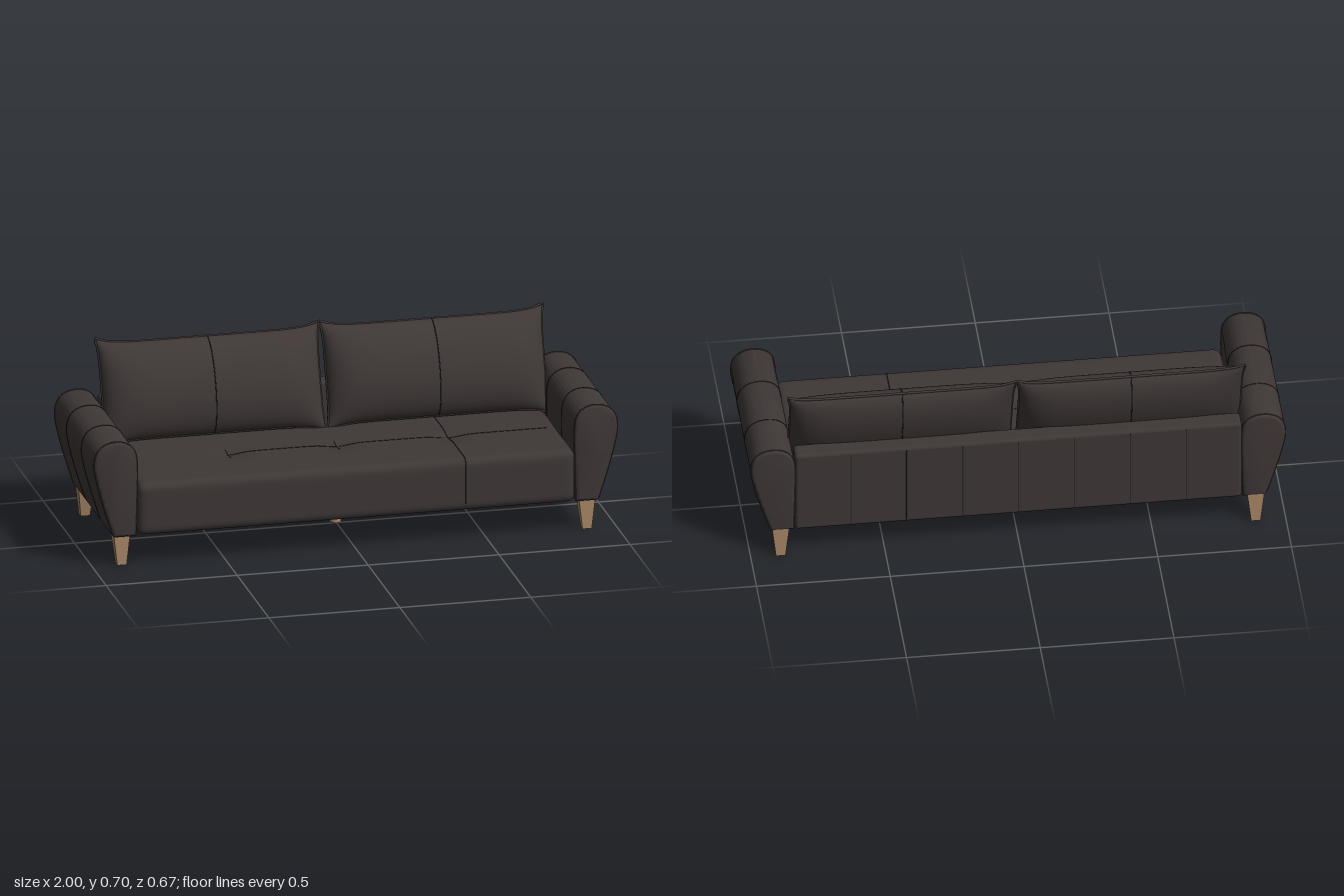
import * as THREE from 'three';
import { mergeVertices, mergeGeometries, toCreasedNormals } from 'three/addons/utils/BufferGeometryUtils.js';
import { RoundedBoxGeometry } from 'three/addons/geometries/RoundedBoxGeometry.js';

const mat = (name, color) => new THREE.MeshStandardMaterial({ name, color });
const fabric = mat('charcoal upholstery', 0x3e3736);
const thread = mat('dark seam', 0x2a2524);
const wood = mat('light wood', 0xa98768);

const V = (x, y, z) => new THREE.Vector3(x, y, z);
const clamp = THREE.MathUtils.clamp;

function add(parent, name, geometry, material, x = 0, y = 0, z = 0) {
  const mesh = new THREE.Mesh(geometry, material);
  mesh.name = name;
  mesh.position.set(x, y, z);
  parent.add(mesh);
  return mesh;
}

// Thin stitched line or piping following a list of points
function line(parent, name, points, radius, material, closed = false) {
  const path = new THREE.CatmullRomCurve3(points, closed, 'centripetal');
  return add(parent, name, new THREE.TubeGeometry(path, points.length * 2, radius, 6, closed), material);
}

// ---- Seat: a rounded block with tufted dimples along its top ----
const SEAT = { w: 1.67, h: 0.205, d: 0.61, r: 0.03, y: 0.2225, z: 0.025 };
const TUFTS = [-0.425, -0.01, 0.415];
const TUFT_Z = 0.05;

const dimple = (x, z) => TUFTS.reduce((sum, t) =>
  sum + 0.01 * Math.exp(-((x - t) ** 2 + (z - TUFT_Z) ** 2) / 0.003), 0);
const seatTop = (x, z) => SEAT.y + SEAT.h / 2 - dimple(x, z);

function seatGeometry() {
  const { w, h, d, r } = SEAT;
  let geo = new THREE.BoxGeometry(w, h, d, 110, 16, 44);
  geo.deleteAttribute('uv');
  geo.deleteAttribute('normal');
  geo = mergeVertices(geo);
  const pos = geo.attributes.position;
  const p = V(0, 0, 0), core = V(0, 0, 0);
  for (let i = 0; i < pos.count; i++) {
    p.fromBufferAttribute(pos, i);
    core.set(clamp(p.x, r - w / 2, w / 2 - r), clamp(p.y, r - h / 2, h / 2 - r), clamp(p.z, r - d / 2, d / 2 - r));
    p.sub(core).setLength(r).add(core);
    if (p.y > h / 2 - r) p.y -= dimple(p.x, p.z + SEAT.z);
    pos.setXYZ(i, p.x, p.y, p.z);
  }
  geo.computeVertexNormals();
  return geo;
}

function buildSeat(root) {
  const seat = new THREE.Group();
  seat.name = 'seat';
  root.add(seat);
  add(seat, 'seatBlock', seatGeometry(), fabric, 0, SEAT.y, SEAT.z);
  add(seat, 'basePanel', new THREE.BoxGeometry(1.56, 0.01, 0.52), fabric, 0, 0.119, 0);

  // Lengthwise stitch through the tufts
  const along = [];
  for (let x = -0.43; x <= 0.81; x += 0.02) along.push(V(x, seatTop(x, TUFT_Z), TUFT_Z));
  line(seat, 'seatLengthSeam', along, 0.0015, thread);

  // Short cross stitches, and one full seam running over the front edge
  for (const x of TUFTS.slice(0, 2)) {
    const cross = [];
    for (let z = TUFT_Z - 0.05; z <= TUFT_Z + 0.051; z += 0.01) cross.push(V(x, seatTop(x, z), z));
    line(seat, 'tuftStitch', cross, 0.0015, thread);
  }
  const over = [];
  const x = TUFTS[2];
  for (let z = -0.2; z < 0.3; z += 0.02) over.push(V(x, seatTop(x, z), z));
  for (let a = 0; a <= 6; a++) {
    const t = a / 6 * Math.PI / 2;
    over.push(V(x, 0.295 + 0.03 * Math.cos(t), 0.3 + 0.03 * Math.sin(t)));
  }
  over.push(V(x, 0.22, 0.33), V(x, 0.15, 0.33));
  line(seat, 'seatFrontSeam', over, 0.002, thread);
}

// ---- Backrest with vertical panel seams ----
function buildBack(root) {
  const back = new THREE.Group();
  back.name = 'backrest';
  root.add(back);
  add(back, 'backPanel', new RoundedBoxGeometry(1.67, 0.345, 0.075, 4, 0.014), fabric, 0, 0.2925, -0.2955);
  for (let i = -3; i <= 3; i++) {
    add(back, 'backSeam', new THREE.BoxGeometry(0.004, 0.32, 0.003), thread, i * 0.209, 0.2925, -0.333);
  }
}

// ---- Arms: teardrop profile run from front to back ----
function buildArm(root, s) {
  const arm = new THREE.Group();
  arm.name = s > 0 ? 'leftArm' : 'rightArm';
  root.add(arm);
  const P = (x, y) => new THREE.Vector2(s * x, y);
  const shape = new THREE.Shape();
  shape.moveTo(s * 0.84, 0.12);
  shape.lineTo(s * 0.925, 0.12);
  shape.splineThru([P(0.945, 0.18), P(0.972, 0.27), P(0.994, 0.36), P(0.999, 0.41), P(0.988, 0.453),
    P(0.96, 0.48), P(0.92, 0.49), P(0.88, 0.484), P(0.85, 0.46), P(0.836, 0.42), P(0.834, 0.34)]);
  shape.lineTo(s * 0.84, 0.12);

  const b = 0.012;
  const geo = new THREE.ExtrudeGeometry(shape, {
    depth: 0.645 - 2 * b, bevelThickness: b, bevelSize: b, bevelOffset: -b, bevelSegments: 4, curveSegments: 40,
  });
  geo.translate(0, 0, -0.33 + b);
  add(arm, 'armBody', toCreasedNormals(geo, 0.7), fabric);

  const ring = shape.getSpacedPoints(70).slice(0, -1);
  const at = (z) => ring.map((p) => V(p.x, p.y, z));
  for (const z of [0.105, -0.13]) line(arm, 'armSeam', at(z), 0.0018, thread, true);
  for (const z of [0.304, -0.319]) line(arm, 'armPiping', at(z), 0.003, fabric, true);
}

// ---- Loose back cushions: puffed, with pinched edges and pointed corners ----
const HALF_W = 0.428, HALF_H = 0.203;
function pillowPoint(u, v, side) {
  const puff = Math.pow(Math.max(0, (1 - u ** 6) * (1 - v * v)), 0.6);
  const x = HALF_W * u * (1 - 0.03 * (1 - Math.abs(v) ** 5));
  const y = HALF_H * v * (1 - 0.11 * (1 - Math.abs(u) ** 8));
  return V(x, y, side > 0 ? 0.085 * puff : -0.068 * puff);
}

function pillowFace(side) {
  const geo = new THREE.PlaneGeometry(2, 2, 48, 28);
  geo.deleteAttribute('uv');
  const pos = geo.attributes.position;
  const ease = (t) => Math.sin(t * Math.PI / 2);
  for (let i = 0; i < pos.count; i++) {
    const p = pillowPoint(side * ease(pos.getX(i)), ease(pos.getY(i)), side);
    pos.setXYZ(i, p.x, p.y, p.z);
  }
  geo.computeVertexNormals();
  return geo;
}

function buildCushion(root, s) {
  const cushion = new THREE.Group();
  cushion.name = s > 0 ? 'leftBackCushion' : 'rightBackCushion';
  cushion.position.set(s * HALF_W, 0.505, -0.215);
  cushion.rotation.x = -0.33;
  root.add(cushion);
  add(cushion, 'cushionBody', mergeGeometries([pillowFace(1), pillowFace(-1)]), fabric);

  // Piping around the edge
  const edge = [];
  const n = 20;
  for (let k = 0; k < 4; k++) {
    for (let i = 0; i < n; i++) {
      const t = -1 + 2 * i / n;
      const [u, v] = [[t, -1], [1, t], [-t, 1], [-1, -t]][k];
      edge.push(pillowPoint(u, v, 1));
    }
  }
  line(cushion, 'cushionPiping', edge, 0.005, fabric, true);

  // Vertical seam down the middle of both faces
  for (const side of [1, -1]) {
    const seam = [];
    for (let i = 0; i <= 24; i++) seam.push(pillowPoint(0, Math.sin((i / 12 - 1) * Math.PI / 2), side));
    line(cushion, 'cushionSeam', seam, 0.002, thread);
  }
}

// ---- Tapered corner legs, with the outward face upright ----
function buildLeg(root, sx, sz) {
  const geo = new THREE.BoxGeometry(0.064, 0.125, 0.056);
  const pos = geo.attributes.position;
  for (let i = 0; i < pos.count; i++) {
    if (pos.getY(i) > 0) continue;
    pos.setX(i, pos.getX(i) * 0.55);
    if (pos.getZ(i) * sz < 0) pos.setZ(i, pos.getZ(i) + sz * 0.024);
  }
  geo.computeVertexNormals();
  add(root, sz > 0 ? 'frontLeg' : 'backLeg', geo, wood, sx * 0.888, 0.0625, sz > 0 ? 0.258 : -0.297);
}

export function createModel() {
  const sofa = new THREE.Group();
  sofa.name = 'sofa';
  buildSeat(sofa);
  buildBack(sofa);
  for (const s of [1, -1]) {
    buildArm(sofa, s);
    buildCushion(sofa, s);
    buildLeg(sofa, s, 1);
    buildLeg(sofa, s, -1);
  }
  add(sofa, 'centreLeg', new THREE.CylinderGeometry(0.021, 0.021, 0.12, 24), wood, 0, 0.06, -0.018);
  return sofa;
}
